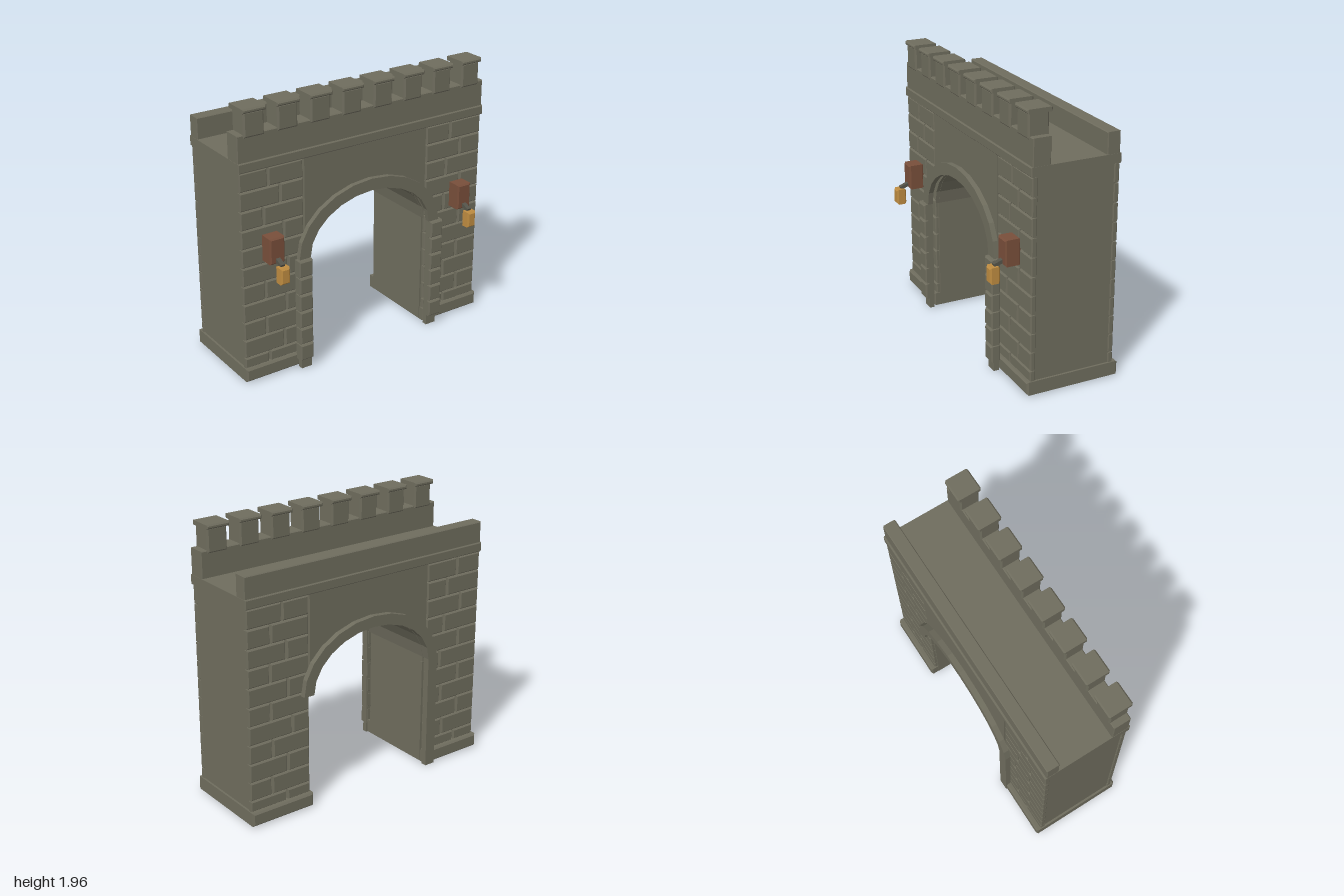
import * as THREE from 'three';

const stone = new THREE.MeshStandardMaterial({ color: 0x6e6c5d });
const wood = new THREE.MeshStandardMaterial({ color: 0x784e3a });
const amber = new THREE.MeshStandardMaterial({ color: 0xbd8b40 });
const iron = new THREE.MeshStandardMaterial({ color: 0x55544a });
stone.name = 'stone';
wood.name = 'wood';
amber.name = 'amber';
iron.name = 'iron';

const SPRING = 0.84; // height where the arch begins

function add(group, name, geometry, material) {
  const mesh = new THREE.Mesh(geometry, material);
  mesh.name = name;
  group.add(mesh);
  return mesh;
}

// Box between two corners, with all edges chamfered by c
function block(group, name, [x0, x1], [y0, y1], [z0, z1], c = 0, material = stone) {
  let geo;
  if (c === 0) {
    geo = new THREE.BoxGeometry(x1 - x0, y1 - y0, z1 - z0);
    geo.translate((x0 + x1) / 2, (y0 + y1) / 2, (z0 + z1) / 2);
  } else {
    const s = new THREE.Shape([
      new THREE.Vector2(x0 + c, y0 + c), new THREE.Vector2(x1 - c, y0 + c),
      new THREE.Vector2(x1 - c, y1 - c), new THREE.Vector2(x0 + c, y1 - c),
    ]);
    geo = new THREE.ExtrudeGeometry(s, {
      depth: z1 - z0 - 2 * c, bevelEnabled: true, bevelSegments: 1, bevelSize: c, bevelThickness: c,
    });
    geo.translate(0, 0, z0 + c);
  }
  return add(group, name, geo, material);
}

// Points of the faceted arch curve, from +x to -x
function archPoints(a, b, n = 12) {
  return Array.from({ length: n + 1 }, (_, i) => {
    const t = (Math.PI * i) / n;
    return new THREE.Vector2(a * Math.cos(t), SPRING + b * Math.sin(t));
  });
}

function slab(group, name, points, z0, z1) {
  const geo = new THREE.ExtrudeGeometry(new THREE.Shape(points), { depth: z1 - z0, bevelEnabled: false });
  geo.translate(0, 0, z0);
  return add(group, name, geo, stone);
}

const v = (x, y) => new THREE.Vector2(x, y);

// Two rows of bricks per pier face, with staggered joints
function brickFace(group, side, z) {
  const left = [0.8, 0.68, 0.82, 0.66, 0.82, 0.64, 0.81, 0.67, 0.82, 0.69, 0.78];
  const right = [0.7, 0.82, 0.69, 0.81, 0.65, 0.82, 0.68, 0.82, 0.69, 0.81, 0.72];
  const joints = side < 0 ? left : right;
  joints.forEach((joint, row) => {
    const y1 = 0.183 + row * 0.135;
    const y0 = row === 0 ? 0.1 : y1 - 0.135;
    for (const [a, b] of [[0.513, joint - 0.006], [joint + 0.006, 0.992]]) {
      const xs = side < 0 ? [-b, -a] : [a, b];
      block(group, 'brick', xs, [y0 + 0.003, y1 - 0.003], z, 0.008);
    }
  });
}

export function createModel() {
  const gate = new THREE.Group();
  gate.name = 'castleGate';

  // Main wall with the arched passage
  slab(gate, 'wall', [
    v(-0.985, 0.02), v(-0.5, 0.02), ...archPoints(0.5, 0.365).reverse(), v(0.5, 0.02),
    v(0.985, 0.02), v(0.985, 1.6), v(-0.985, 1.6),
  ], -0.37, 0.21);

  // Smooth panels above the arch, front and back
  const panel = [...archPoints(0.502, 0.367).reverse(), v(0.502, 1.54), v(-0.502, 1.54)];
  slab(gate, 'frontPanel', panel, 0.205, 0.235);
  slab(gate, 'backPanel', panel, -0.395, -0.365);

  // Piers: plinth and brick facing
  for (const side of [-1, 1]) {
    const xs = side < 0 ? [-1, -0.505] : [0.505, 1];
    block(gate, 'plinth', xs, [0.01, 0.108], [-0.43, 0.26], 0.012);
    brickFace(gate, side, [0.195, 0.235]);
    brickFace(gate, side, [-0.395, -0.355]);
  }

  // Arch trim rings
  const ring = (outer, rise) => [...archPoints(outer, rise), ...archPoints(0.5, 0.365).reverse()];
  slab(gate, 'frontArchTrim', ring(0.588, 0.45), 0.26, 0.297);
  slab(gate, 'backArchTrim', ring(0.58, 0.442), -0.436, -0.396);
  block(gate, 'backJamb', [-0.58, -0.5], [0, SPRING], [-0.436, -0.396]);
  block(gate, 'jambStrip', [-0.51, -0.493], [0.1, 0.8], [-0.375, -0.355]);

  // Front jambs faced with corner stones
  for (const side of [-1, 1]) {
    const span = (a, b) => (side < 0 ? [-b, -a] : [a, b]);
    block(gate, 'frontJamb', span(0.502, 0.585), [0, SPRING], [0.26, 0.297]);
    for (let i = 0; i < 6; i++) {
      const y = 0.078 + i * 0.128;
      block(gate, 'cornerStone', span(0.502, 0.608), [y, y + 0.12], [0.258, 0.327], 0.01);
    }
  }

  // Cornice and parapets
  block(gate, 'cornice', [-1, 1], [1.535, 1.602], [-0.402, 0.247], 0.006);
  block(gate, 'frontParapet', [-0.998, 0.998], [1.59, 1.788], [0.107, 0.235], 0.006);
  block(gate, 'backParapet', [-0.998, 0.998], [1.59, 1.752], [-0.39, -0.296], 0.006);

  // Merlons with caps
  for (let i = 0; i < 8; i++) {
    const x = -0.875 + i * 0.25;
    block(gate, 'merlon', [x - 0.076, x + 0.076], [1.765, 1.94], [0.098, 0.246], 0.012);
    block(gate, 'merlonCap', [x - 0.088, x + 0.088], [1.932, 1.963], [0.08, 0.258], 0.01);
  }

  // Spikes hanging from the vault
  for (let i = -3; i <= 3; i++) {
    const x = i * 0.107;
    const top = SPRING + 0.365 * Math.sqrt(1 - (x / 0.5) ** 2);
    const spike = add(gate, 'spike', new THREE.ConeGeometry(0.012, 0.1, 6), iron);
    spike.rotation.x = Math.PI;
    spike.position.set(x, top - 0.04, -0.05);
  }

  // Lanterns on wooden blocks
  for (const side of [-1, 1]) {
    const lamp = new THREE.Group();
    lamp.name = 'wallLantern';
    lamp.position.x = side * 0.783;
    block(lamp, 'lanternBlock', [-0.057, 0.057], [0.888, 1.073], [0.23, 0.341], 0.01, wood);
    const arm = add(lamp, 'lanternArm', new THREE.BoxGeometry(0.032, 0.025, 0.075), iron);
    arm.position.set(0, 0.908, 0.365);
    arm.rotation.x = 0.35;
    block(lamp, 'lanternLight', [-0.036, 0.036], [0.775, 0.892], [0.364, 0.438], 0.012, amber);
    gate.add(lamp);
  }

  return gate;
}
